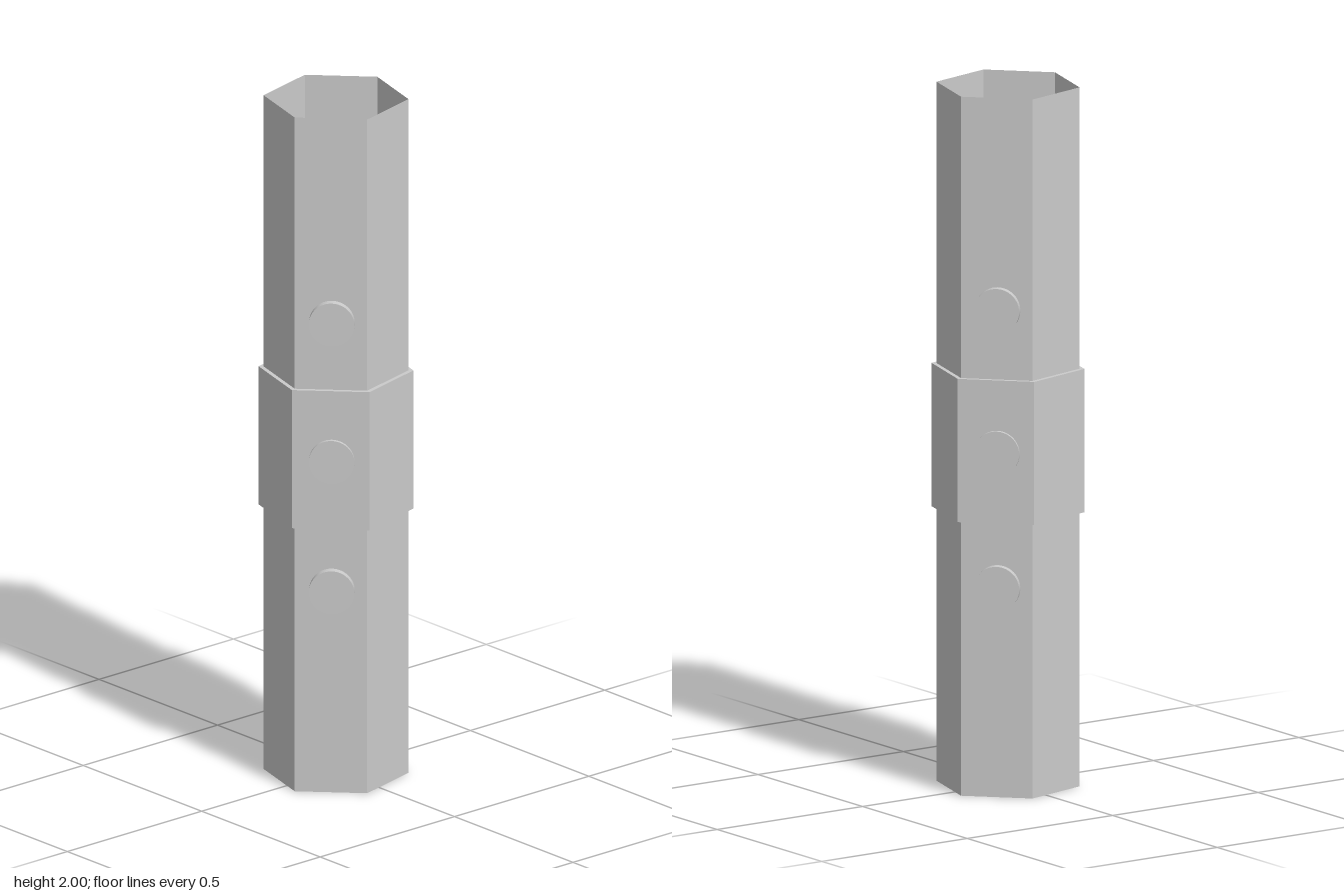
import * as THREE from 'three';

const TURN = THREE.MathUtils.degToRad(14); // rotation of the hexagon about y

export function createModel() {
  const group = new THREE.Group();
  const flat = new THREE.MeshStandardMaterial({ color: 0xcccccc, flatShading: true, side: THREE.DoubleSide });
  const smooth = new THREE.MeshStandardMaterial({ color: 0xcccccc });

  const add = (name, geometry, material) => {
    const mesh = new THREE.Mesh(geometry, material);
    mesh.name = name;
    group.add(mesh);
    return mesh;
  };

  // Six-sided shell from [radius, y] points
  const hexShell = (points) =>
    new THREE.LatheGeometry(points.map(([r, y]) => new THREE.Vector2(r, y)), 6, TURN);

  // Thin open tube
  add('hexTube', hexShell([[0.203, 0], [0.203, 2]]), flat);

  // Collar around the middle, closed against the tube at both rims
  add('collar', hexShell([[0.203, 0.785], [0.217, 0.785], [0.217, 1.195], [0.203, 1.195]]), flat);

  // Cross pins running through two opposite faces
  const pin = new THREE.CylinderGeometry(0.064, 0.064, 0.398, 48);
  pin.rotateX(Math.PI / 2).rotateY(Math.PI / 4);
  [['lowerPin', 0.6], ['middlePin', 0.987], ['upperPin', 1.395]].forEach(([name, y]) => {
    add(name, pin, smooth).position.y = y;
  });

  return group;
}
